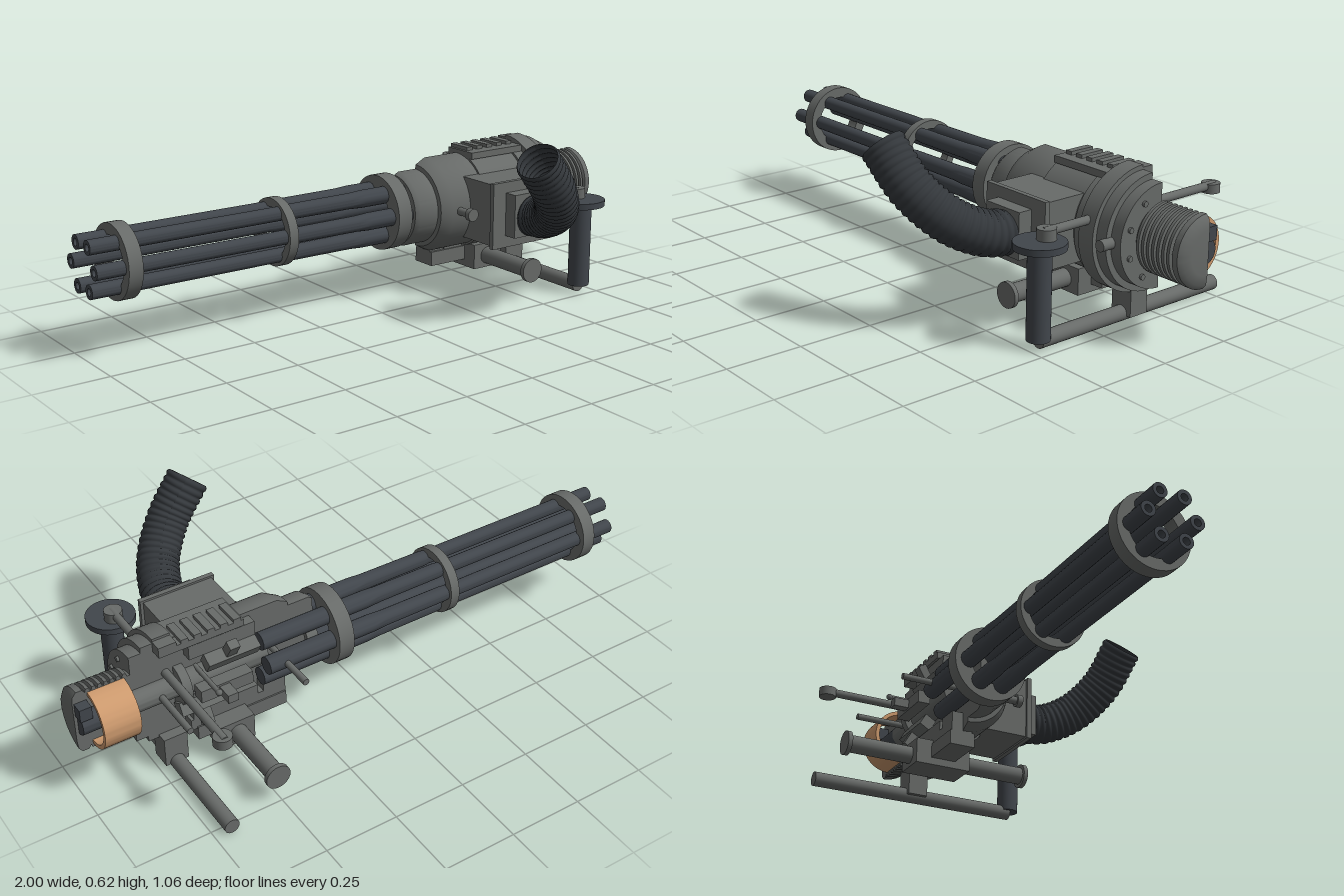
import * as THREE from 'three';
import { toCreasedNormals } from 'three/addons/utils/BufferGeometryUtils.js';

const AY = 0.3, AZ = -0.16; // main axis, running along x

export function createModel() {
  const model = new THREE.Group();
  const mat = (name, color, side = THREE.FrontSide) => {
    const m = new THREE.MeshStandardMaterial({ color, side });
    m.name = name;
    return m;
  };
  const steel = mat('grey steel', 0x686b69);
  const gunmetal = mat('dark gunmetal', 0x41464c);
  const rubber = mat('black rubber', 0x34383c, THREE.DoubleSide);
  const copper = mat('copper', 0xcd9a6e);

  const add = (name, geo, material, x = 0, y = 0, z = 0) => {
    const m = new THREE.Mesh(geo, material);
    m.name = name;
    m.position.set(x, y, z);
    model.add(m);
    return m;
  };
  // box given by its limits
  const box = (name, x0, x1, y0, y1, z0, z1, material = steel) =>
    add(name, new THREE.BoxGeometry(x1 - x0, y1 - y0, z1 - z0), material, (x0 + x1) / 2, (y0 + y1) / 2, (z0 + z1) / 2);
  // rod along z
  const rodZ = (name, r, x, y, z0, z1, material = steel) =>
    add(name, new THREE.CylinderGeometry(r, r, z1 - z0, 24).rotateX(Math.PI / 2), material, x, y, (z0 + z1) / 2);
  // turned part along x from [x, radius] pairs
  const turned = (name, pts, material, start = 0, sweep = Math.PI * 2, seg = 40) => {
    const geo = new THREE.LatheGeometry(pts.map(([x, r]) => new THREE.Vector2(r, x)), seg, start, sweep);
    return add(name, toCreasedNormals(geo.rotateZ(-Math.PI / 2), 0.6), material, 0, AY, AZ);
  };
  const ring = (name, x0, x1, inner, outer, material, start, sweep) =>
    turned(name, [[x0, inner], [x0, outer], [x1, outer], [x1, inner], [x0, inner]], material, start, sweep);
  // half turned part facing +z, closed by a flat cut face at the back
  const halfTurned = (name, pts, material) => {
    turned(name, pts, material, -Math.PI / 2, Math.PI);
    const outline = [...pts, ...pts.slice(1, -1).reverse().map(([x, r]) => [x, -r])];
    const shape = new THREE.Shape(outline.map(([x, r]) => new THREE.Vector2(x, r)));
    add(name + 'CutFace', new THREE.ShapeGeometry(shape).rotateX(Math.PI), material, 0, AY, AZ);
  };

  // six barrels and their clamps
  for (let i = 0; i < 6; i++) {
    const a = i * Math.PI / 3;
    const b = turned('barrel', [[-0.95, 0], [-0.95, 0.012], [-1, 0.012], [-1, 0.024], [-0.3, 0.024],
      [-0.28, 0.026], [-0.05, 0.027], [0, 0.03], [0.39, 0.03], [0.39, 0]], gunmetal, 0, Math.PI * 2, 18);
    b.position.y += 0.08 * Math.sin(a);
    b.position.z += 0.08 * Math.cos(a);
  }
  ring('muzzleClamp', -0.905, -0.857, 0.085, 0.122, steel);
  ring('middleClamp', -0.33, -0.297, 0.085, 0.114, steel);
  ring('rearClamp', 0.095, 0.15, 0.07, 0.13, steel);

  // sectioned housing
  halfTurned('housing', [[0.17, 0], [0.17, 0.12], [0.185, 0.13], [0.26, 0.13], [0.262, 0.145], [0.3, 0.165],
    [0.44, 0.165], [0.44, 0.172], [0.63, 0.172], [0.63, 0.18], [0.67, 0.18], [0.67, 0.2], [0.73, 0.2],
    [0.73, 0.185], [0.77, 0.185], [0.77, 0.165], [0.81, 0.165], [0.81, 0]], steel);
  for (let i = 0; i < 4; i++) {
    const a = -1 + i * 2 / 3;
    add('housingRivet', new THREE.CylinderGeometry(0.009, 0.009, 0.012, 12).rotateZ(Math.PI / 2), steel,
      0.812, AY + 0.135 * Math.sin(a), AZ + 0.135 * Math.cos(a));
  }

  // ribbed motor casing
  const casing = [[0.8, 0], [0.8, 0.1]];
  for (let i = 0; i < 7; i++) {
    const x = 0.82 + i * 0.02;
    casing.push([x, 0.102], [x + 0.003, 0.114], [x + 0.013, 0.114], [x + 0.016, 0.102]);
  }
  casing.push([0.965, 0.115], [0.985, 0.115], [0.997, 0.1], [1, 0.07], [1, 0]);
  halfTurned('motorCasing', casing, steel);
  ring('motorWinding', 0.83, 0.95, 0.086, 0.1, copper, Math.PI / 2, Math.PI);
  turned('motorCore', [[0.82, 0], [0.82, 0.04], [0.99, 0.04], [0.99, 0]], gunmetal);
  box('motorBrush', 0.955, 0.995, 0.33, 0.375, -0.197, -0.155, gunmetal);

  // exposed rotor and bolts on the cut side
  turned('rotor', [[0.36, 0], [0.36, 0.045], [0.64, 0.045], [0.64, 0.07], [0.67, 0.07], [0.67, 0.04], [0.82, 0.04], [0.82, 0]], steel);
  ring('frontBearing', 0.19, 0.23, 0.05, 0.07, steel);
  [-1, 0, 1].forEach((k, i) => {
    const a = Math.PI + k * Math.PI / 3, x = 0.4 + i * 0.05;
    const y = AY + 0.08 * Math.sin(a), z = AZ + 0.08 * Math.cos(a);
    box('bolt', x, x + 0.18, y - 0.022, y + 0.022, z - 0.022, z + 0.022).rotation.x = -a;
    const roller = add('boltRoller', new THREE.BoxGeometry(0.035, 0.03, 0.06), steel, x + 0.1,
      AY + 0.125 * Math.sin(a), AZ + 0.125 * Math.cos(a));
    roller.rotation.x = -a;
  });
  box('upperCutBlock', 0.4, 0.63, 0.4, 0.45, -0.195, -0.15);
  box('lowerCutBlock', 0.4, 0.63, 0.15, 0.2, -0.2, -0.15);
  rodZ('frontPin', 0.011, 0.33, 0.302, -0.375, -0.15);
  rodZ('rearPin', 0.011, 0.73, 0.302, -0.375, -0.15);
  rodZ('sidePin', 0.008, 0.595, 0.34, -0.31, -0.15);
  add('sidePinKnob', new THREE.SphereGeometry(0.011, 14, 10), steel, 0.595, 0.34, -0.31);

  // top rail with teeth
  box('topRail', 0.44, 0.68, 0.455, 0.478, -0.2, -0.07);
  for (let i = 0; i < 5; i++) box('railTooth', 0.45 + i * 0.045, 0.475 + i * 0.045, 0.47, 0.49, -0.2, -0.11);
  box('topLug', 0.67, 0.73, 0.455, 0.492, -0.2, -0.15);

  // side knobs
  rodZ('sideKnobStem', 0.014, 0.33, 0.302, -0.02, 0.06);
  rodZ('sideKnob', 0.022, 0.33, 0.302, 0.055, 0.075);
  rodZ('rearSideKnob', 0.018, 0.77, 0.302, -0.02, 0.05);

  // feed box and ribbed hose
  box('feedBox', 0.375, 0.62, 0.195, 0.41, -0.1, 0.125);
  box('feedFlange', 0.365, 0.63, 0.188, 0.417, 0.12, 0.137);
  box('feedNeck', 0.42, 0.57, 0.23, 0.38, 0.13, 0.185);
  const path = new THREE.CatmullRomCurve3([[0.5, 0.3, 0.17], [0.49, 0.31, 0.25], [0.45, 0.36, 0.35],
    [0.37, 0.45, 0.425], [0.265, 0.57, 0.457]].map(p => new THREE.Vector3(...p)));
  const rings = 22, steps = rings * 6, sides = 28;
  const hose = new THREE.TubeGeometry(path, steps, 0.072, sides);
  const pos = hose.attributes.position, v = new THREE.Vector3();
  for (let i = 0; i <= steps; i++) {
    const c = path.getPointAt(i / steps);
    const k = 0.93 + 0.08 * Math.abs(Math.sin(Math.PI * i / 6));
    for (let j = 0; j <= sides; j++) {
      const n = i * (sides + 1) + j;
      v.fromBufferAttribute(pos, n).sub(c).multiplyScalar(k).add(c);
      pos.setXYZ(n, v.x, v.y, v.z);
    }
  }
  hose.computeVertexNormals();
  add('feedHose', hose, rubber);

  // mount below the housing
  box('mountPlate', 0.3, 0.62, 0.082, 0.132, -0.205, -0.115);
  box('mountWeb', 0.36, 0.64, 0.125, 0.165, -0.2, -0.12);
  box('mountBlock', 0.45, 0.572, 0.057, 0.145, -0.26, -0.06);
  box('frontCutBracket', 0.3, 0.38, 0.13, 0.2, -0.2, -0.125);
  rodZ('mountRod', 0.03, 0.51, 0.1, -0.495, 0.17);
  rodZ('mountRodCap', 0.042, 0.51, 0.1, 0.165, 0.18);
  rodZ('mountRodCap', 0.042, 0.51, 0.1, -0.5, -0.485);

  // carrying frame with upright grip
  rodZ('lowerFrameRod', 0.025, 0.695, 0.025, -0.535, 0.215);
  box('lowerFrameBracket', 0.655, 0.735, 0.02, 0.125, -0.195, -0.125);
  rodZ('upperFrameRod', 0.014, 0.695, 0.358, -0.52, 0.2);
  const upright = (name, r, y0, y1, z, material) =>
    add(name, new THREE.CylinderGeometry(r, r, y1 - y0, 32), material, 0.695, (y0 + y1) / 2, z);
  upright('frameEndCap', 0.03, 0.337, 0.368, -0.505, steel);
  upright('frameGripCap', 0.03, 0.335, 0.37, 0.19, steel);
  upright('gripGuard', 0.081, 0.314, 0.335, 0.215, gunmetal);
  upright('grip', 0.037, 0.028, 0.32, 0.215, gunmetal);
  return model;
}
